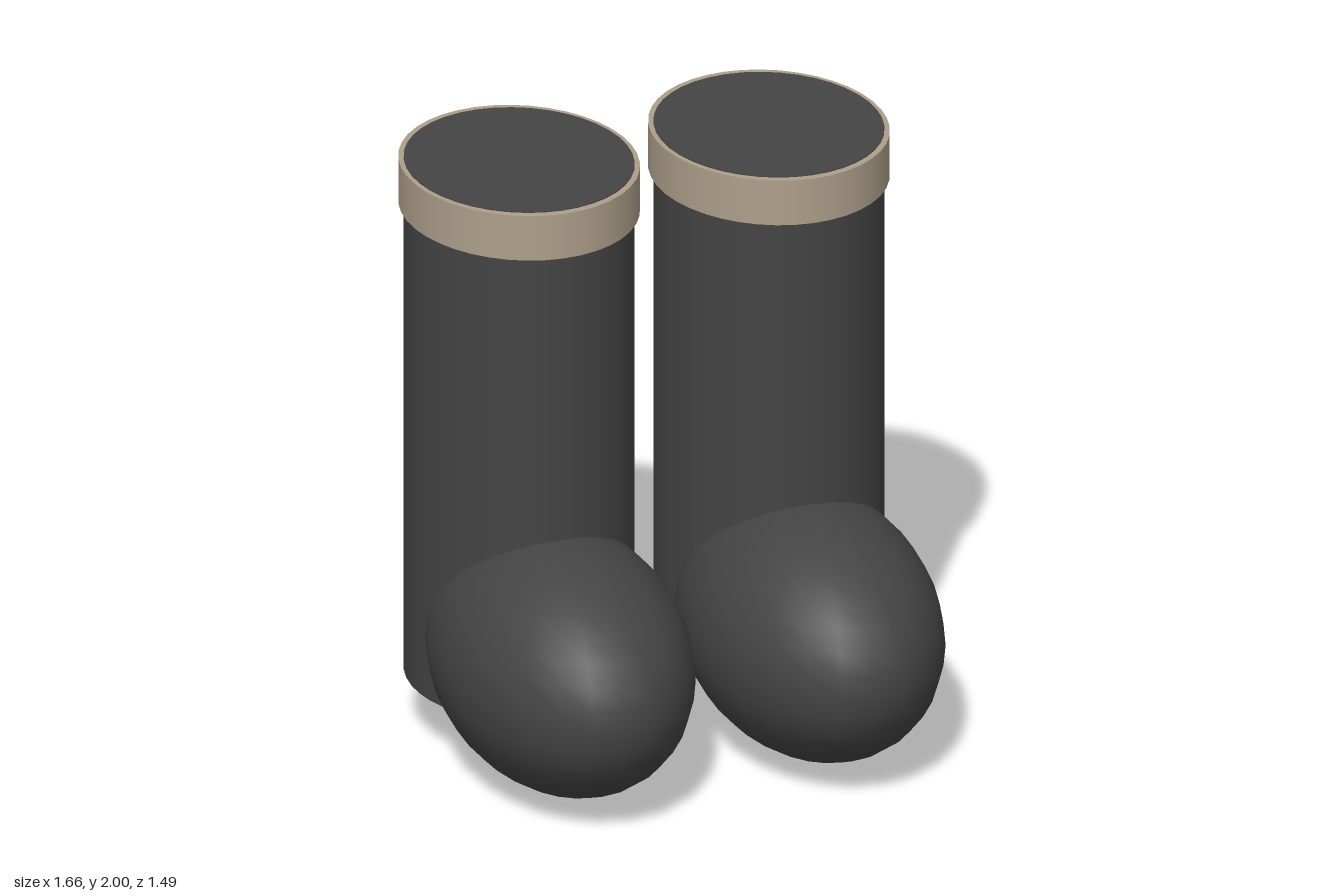
import * as THREE from 'three';

const rubber = new THREE.MeshStandardMaterial({ color: 0x444444 });
rubber.name = 'darkRubber';
const trim = new THREE.MeshStandardMaterial({ color: 0xad9f8a });
trim.name = 'beigeTrim';

// Elliptical upright cylinder between two heights
function ovalColumn(name, rx, rz, y0, y1, material) {
  const geometry = new THREE.CylinderGeometry(1, 1, y1 - y0, 40);
  geometry.scale(rx, 1, rz);
  geometry.translate(0, (y0 + y1) / 2, -0.3);
  const mesh = new THREE.Mesh(geometry, material);
  mesh.name = name;
  return mesh;
}

function createBoot(name, x) {
  const boot = new THREE.Group();
  boot.name = name;
  boot.position.x = x;

  // Tall leg; its top cap sits just proud of the cuff
  boot.add(ovalColumn('shaft', 0.366, 0.418, 0.2, 2, rubber));
  boot.add(ovalColumn('cuff', 0.382, 0.444, 1.84, 1.997, trim));

  // Egg-shaped foot pushed forward of the leg
  const footGeometry = new THREE.SphereGeometry(1, 24, 18);
  footGeometry.scale(0.405, 0.418, 0.64);
  const foot = new THREE.Mesh(footGeometry, rubber);
  foot.name = 'foot';
  foot.position.set(0, 0.42, 0.103);
  boot.add(foot);
  return boot;
}

export function createModel() {
  const model = new THREE.Group();
  model.name = 'bootPair';
  model.add(createBoot('leftBoot', 0.425), createBoot('rightBoot', -0.425));
  return model;
}
